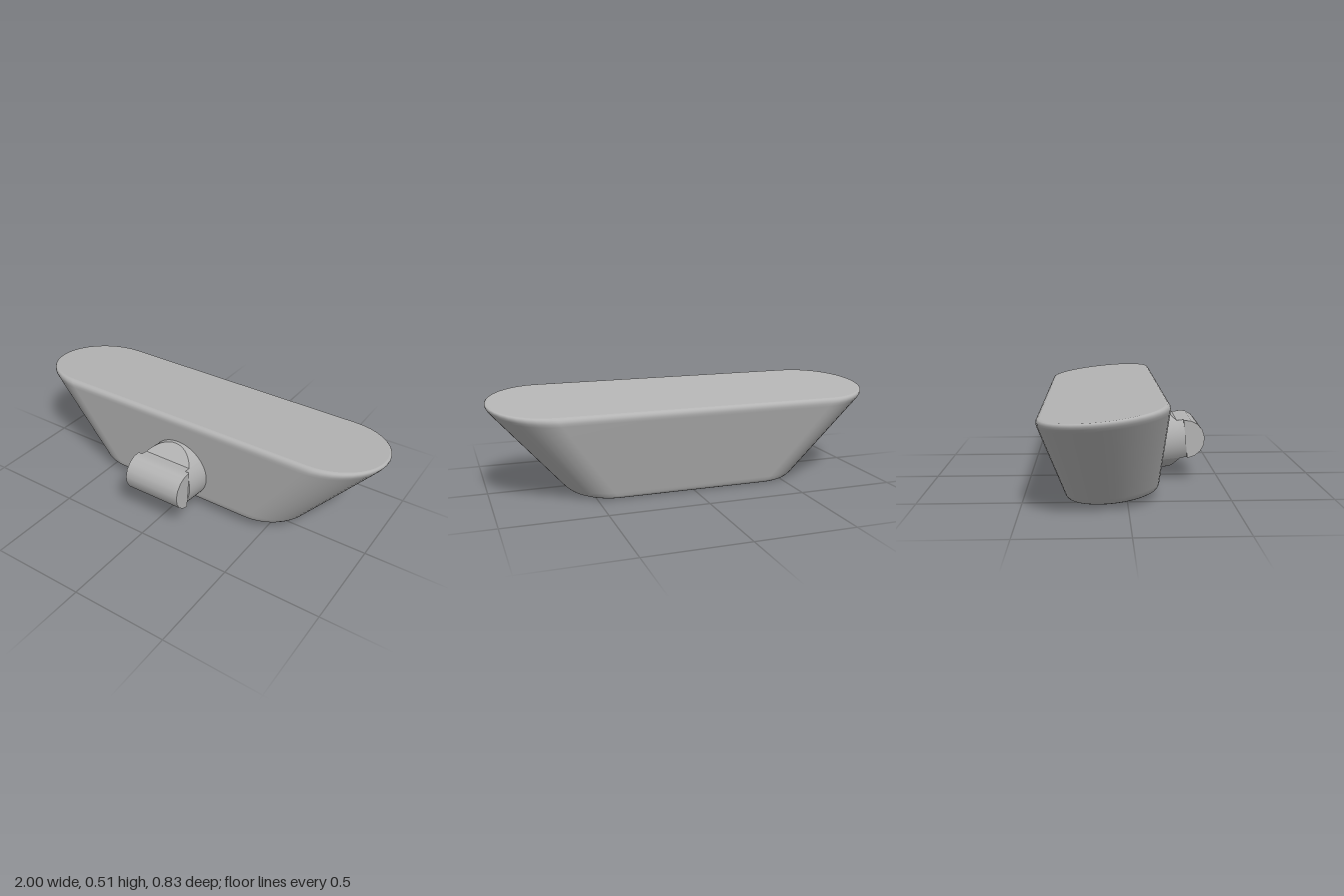
import * as THREE from 'three';

const TILT = 0.107;

function surface(points, index, flat = false) {
  let g = new THREE.BufferGeometry();
  g.setAttribute('position', new THREE.Float32BufferAttribute(points.flat(), 3));
  g.setIndex(index);
  if (flat) g = g.toNonIndexed();
  g.computeVertexNormals();
  return g;
}

// Stadium outline: two half circles joined by straight sides
function stadium(straight, radius, y, n = 20) {
  const pts = [];
  for (const side of [1, -1]) {
    for (let i = 0; i <= n; i++) {
      const a = -Math.PI / 2 + Math.PI * i / n + (side < 0 ? Math.PI : 0);
      pts.push([side * straight + radius * Math.cos(a), y, radius * Math.sin(a)]);
    }
  }
  return pts;
}

export function createModel() {
  const model = new THREE.Group();
  const grey = new THREE.MeshStandardMaterial({ color: 0xb4b4b4 });
  grey.name = 'plain grey';
  const add = (parent, name, geometry) => {
    const m = new THREE.Mesh(geometry, grey);
    m.name = name;
    parent.add(m);
  };

  // Flared body, with small rounds at both rims: [height, inset]
  const body = new THREE.Group();
  body.name = 'body';
  body.position.set(0, 0.026, -0.068);
  body.rotation.x = -TILT;
  model.add(body);
  const H = 0.464;
  const stations = [
    [0, 0.024], [0.003, 0.012], [0.009, 0.004], [0.022, 0], [0.04, 0],
    [H - 0.04, 0], [H - 0.026, 0.001], [H - 0.015, 0.004], [H - 0.006, 0.011], [H - 0.002, 0.018], [H, 0.028],
  ];
  const rings = stations.map(([h, inset]) => {
    const t = h / H;
    return stadium(0.39 + 0.322 * t, 0.225 + 0.078 * t - inset, h);
  });
  const n = rings[0].length;
  const index = [];
  for (let k = 0; k < rings.length - 1; k++) {
    for (let i = 0; i < n; i++) {
      const a = k * n + i, b = k * n + (i + 1) % n;
      index.push(a, a + n, b, b, a + n, b + n);
    }
  }
  add(body, 'bodyWall', surface(rings.flat(), index));
  const cap = (ring, up) => {
    const tris = [];
    for (let i = 0; i < n; i++) {
      const j = (i + 1) % n;
      tris.push(n, up ? j : i, up ? i : j);
    }
    return surface([...ring, [0, ring[0][1], 0]], tris);
  };
  add(body, 'bodyTop', cap(rings[rings.length - 1], true));
  add(body, 'bodyBottom', cap(rings[0], false));

  // Round mount on the front, chamfered above and below towards the knob
  const mount = new THREE.Group();
  mount.name = 'mount';
  mount.position.set(0, 0.2215, 0.2135);
  mount.rotation.x = -TILT;
  model.add(mount);
  const R = 0.1675, knobR = 0.1, knobZ = 0.102, back = -0.085;
  const t0 = Math.acos(knobR / R);
  const profile = [];
  const sweep = (from, to, steps, depth) => {
    for (let i = 0; i <= steps; i++) {
      const t = from + (to - from) * i / steps;
      const y = R * Math.cos(t);
      profile.push([R * Math.sin(t), y, depth(y)]);
    }
  };
  const chamfer = (y) => R - Math.abs(y);
  sweep(0, t0, 10, chamfer);
  sweep(t0, Math.PI - t0, 12, () => knobZ);
  sweep(Math.PI - t0, Math.PI, 10, chamfer);

  const front = [], frontIndex = [], wall = [], wallIndex = [];
  profile.forEach(([x, y, z], i) => {
    front.push([-x, y, z], [x, y, z]);
    wall.push([x, y, back], [x, y, z], [-x, y, back], [-x, y, z]);
    if (i === profile.length - 1) return;
    const f = 2 * i, w = 4 * i;
    frontIndex.push(f, f + 2, f + 1, f + 1, f + 2, f + 3);
    wallIndex.push(w, w + 1, w + 4, w + 4, w + 1, w + 5);
    wallIndex.push(w + 2, w + 6, w + 3, w + 6, w + 7, w + 3);
  });
  add(mount, 'mountFace', surface(front, frontIndex, true));
  add(mount, 'mountWall', surface(wall, wallIndex));

  // Half-round knob lying across the mount
  const width = 0.316;
  const knob = new THREE.CylinderGeometry(knobR, knobR, width, 8, 1, false, -Math.PI / 2, Math.PI);
  knob.rotateZ(Math.PI / 2).translate(0, 0, knobZ);
  add(mount, 'knob', knob);
  const knobBack = new THREE.PlaneGeometry(width, 2 * knobR);
  knobBack.rotateY(Math.PI).translate(0, 0, knobZ);
  add(mount, 'knobBack', knobBack);

  return model;
}
